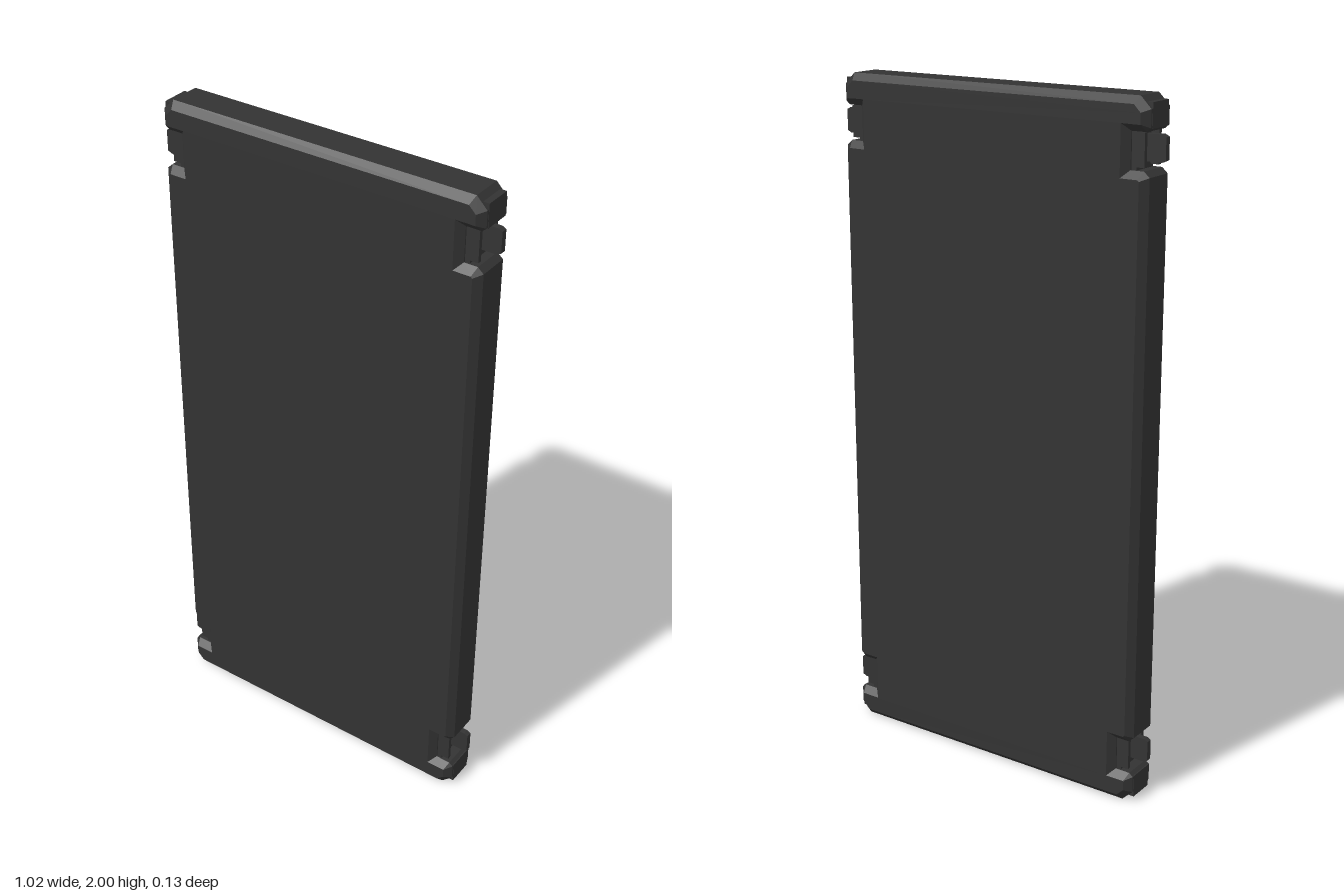
import * as THREE from 'three';

const dark = new THREE.MeshStandardMaterial({ color: 0x333333, flatShading: true });

// Bevelled extrusion of an xy outline, centred on z
function plate(points, depth, bevel, name) {
  const shape = new THREE.Shape(points.map(([x, y]) => new THREE.Vector2(x, y)));
  const geo = new THREE.ExtrudeGeometry(shape, {
    depth: depth - 2 * bevel, bevelEnabled: bevel > 0, bevelSize: bevel,
    bevelThickness: bevel, bevelOffset: -bevel, bevelSegments: 1, steps: 1,
  });
  geo.translate(0, 0, -depth / 2 + bevel);
  const mesh = new THREE.Mesh(geo, dark);
  mesh.name = name;
  return mesh;
}

function box(x0, x1, y0, y1, z0, z1, name) {
  const mesh = new THREE.Mesh(new THREE.BoxGeometry(x1 - x0, y1 - y0, z1 - z0), dark);
  mesh.position.set((x0 + x1) / 2, (y0 + y1) / 2, (z0 + z1) / 2);
  mesh.name = name;
  return mesh;
}

// Latch seated in an edge notch of the +x side, centred on the given height
function latch(y) {
  const g = new THREE.Group();
  g.name = 'latch';
  g.add(box(0.42, 0.455, y - 0.056, y + 0.056, -0.042, 0.042, 'latchBase'));
  for (const s of [-1, 1]) {
    const z = s * 0.036;
    g.add(box(0.43, 0.478, y - 0.045, y + 0.045, z - 0.006, z + 0.006, 'latchCheek'));
  }
  const tongue = plate([
    [0.44, y - 0.036], [0.5, y - 0.036], [0.512, y - 0.03],
    [0.512, y + 0.03], [0.5, y + 0.036], [0.44, y + 0.036],
  ], 0.018, 0, 'latchTongue');
  tongue.position.z = -0.016;
  g.add(tongue);
  return g;
}

export function createModel() {
  const model = new THREE.Group();
  model.name = 'panel';

  // Slab outline: chamfered corners and two notches along each side
  const right = [
    [0.465, 0], [0.497, 0.032], [0.497, 0.08], [0.485, 0.09], [0.44, 0.09],
    [0.44, 0.19], [0.48, 0.19], [0.497, 0.205],
  ];
  const rightSide = [...right, ...right.map(([x, y]) => [x, 2 - y]).reverse()];
  const leftSide = rightSide.map(([x, y]) => [-x, y]).reverse();
  model.add(plate([...rightSide, ...leftSide], 0.132, 0.02, 'slab'));

  // Latches and corner caps, repeated by a half turn
  for (const turn of [0, Math.PI]) {
    const side = new THREE.Group();
    side.name = turn ? 'rightFittings' : 'leftFittings';
    for (const y of [0.143, 1.863]) side.add(latch(y));
    side.add(box(0.462, 0.498, 0.015, 0.082, -0.04, 0.04, 'lowerCornerCap'));
    side.add(box(0.462, 0.498, 1.918, 1.985, -0.04, 0.04, 'upperCornerCap'));
    side.rotation.y = turn;
    model.add(side);
  }
  return model;
}
